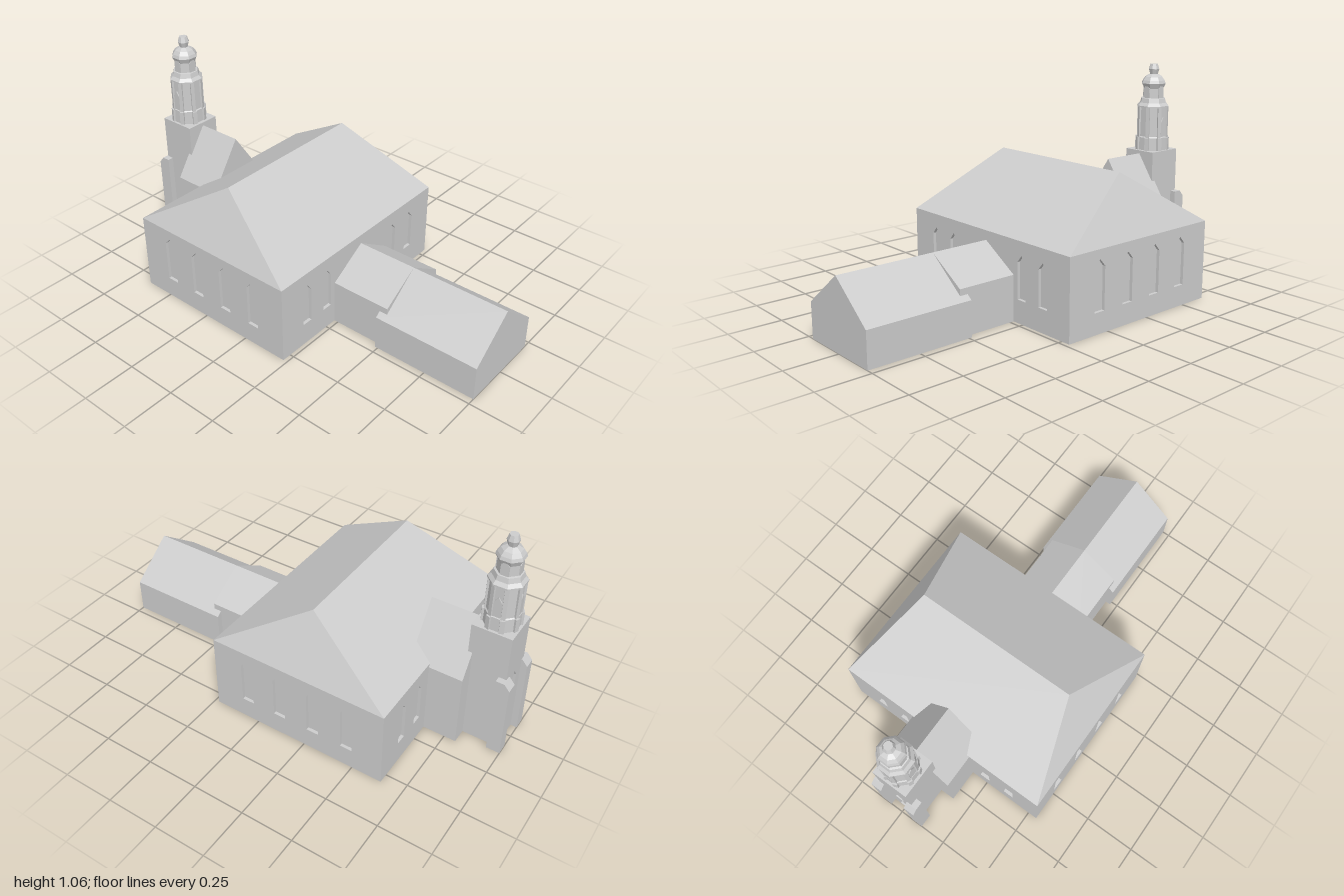
import * as THREE from 'three';

const stone = new THREE.MeshStandardMaterial({ color: 0xcccccc, flatShading: true });
stone.name = 'pale stone';
const RECESS = 0.015;

function add(parent, geometry, name, x = 0, y = 0, z = 0, turn = 0) {
  const mesh = new THREE.Mesh(geometry, stone);
  mesh.name = name;
  mesh.position.set(x, y, z);
  mesh.rotation.y = turn;
  parent.add(mesh);
  return mesh;
}

const shapeOf = (points) => new THREE.Shape(points.map(([x, y]) => new THREE.Vector2(x, y)));
const extrude = (shape, depth) => new THREE.ExtrudeGeometry(shape, { depth, bevelEnabled: false });

// Pointed window or door outline
function lancet(cx, y0, y1, width, rise) {
  const h = width / 2;
  return [[cx - h, y0], [cx + h, y0], [cx + h, y1 - rise], [cx, y1], [cx - h, y1 - rise]];
}

// Wall skin with openings, its outer face at z = RECESS
function wall(width, height, openings) {
  const shape = shapeOf([[-width / 2, 0], [width / 2, 0], [width / 2, height], [-width / 2, height]]);
  openings.forEach((o) => shape.holes.push(new THREE.Path(shapeOf(lancet(...o)).getPoints())));
  return extrude(shape, RECESS);
}

// Gabled block running along x
function gabled(parent, name, x0, x1, half, eave, ridge) {
  const shape = shapeOf([[-half, 0], [half, 0], [half, eave], [0, ridge], [-half, eave]]);
  add(parent, extrude(shape, x1 - x0), name, x0, 0, 0, Math.PI / 2);
}

// Hipped roof with its ridge along z
function hippedRoof(hw, hd, ridgeHalf, rise) {
  const a = [-hw, 0, hd], b = [hw, 0, hd], c = [hw, 0, -hd], d = [-hw, 0, -hd];
  const f = [0, rise, ridgeHalf], r = [0, rise, -ridgeHalf];
  const faces = [a, b, f, c, d, r, b, c, r, b, r, f, d, a, f, d, f, r];
  const geometry = new THREE.BufferGeometry();
  geometry.setAttribute('position', new THREE.Float32BufferAttribute(faces.flat(), 3));
  geometry.computeVertexNormals();
  return geometry;
}

// Eight-sided turned form; radii are measured to the flats
function octagon(profile) {
  const k = 1 / Math.cos(Math.PI / 8);
  const points = profile.map(([r, y]) => new THREE.Vector2(r * k, y));
  return new THREE.LatheGeometry(points, 8, Math.PI / 8);
}

function createHall() {
  const hall = new THREE.Group();
  hall.name = 'hall';
  hall.position.x = -0.2075;
  const hw = 0.4375, hd = 0.545, eave = 0.38;
  add(hall, new THREE.BoxGeometry(2 * (hw - RECESS), eave, 2 * (hd - RECESS)), 'hallCore', 0, eave / 2);
  const sideWindows = [-0.26, -0.0875, 0.0875, 0.26].map((x) => [x, 0.1, 0.335, 0.06, 0.035]);
  const endWindows = [-0.38, -0.243, 0.243, 0.38].map((x) => [x, 0.11, 0.315, 0.053, 0.033]);
  for (const s of [1, -1]) {
    add(hall, wall(2 * hw, eave, sideWindows), s > 0 ? 'frontWall' : 'backWall',
      0, 0, s * (hd - RECESS), s > 0 ? 0 : Math.PI);
    add(hall, wall(2 * (hd - RECESS), eave, endWindows), s > 0 ? 'leftWall' : 'rightWall',
      s * (hw - RECESS), 0, 0, s * Math.PI / 2);
  }
  add(hall, hippedRoof(hw, hd, 0.4, 0.27), 'hallRoof', 0, eave);
  return hall;
}

function createTower() {
  const tower = new THREE.Group();
  tower.name = 'tower';
  const x0 = -0.97, x1 = -0.785, half = 0.09, top = 0.62;
  add(tower, new THREE.BoxGeometry(x1 - x0 - RECESS, top, 2 * half), 'towerShaft',
    (x0 + RECESS + x1) / 2, top / 2);
  add(tower, wall(2 * half, top, [[0, 0.01, 0.19, 0.06, 0.035], [0, 0.23, 0.38, 0.05, 0.035]]),
    'entranceWall', x0 + RECESS, 0, 0, -Math.PI / 2);

  // Buttresses with sloping caps
  const profile = shapeOf([[-1, 0], [-0.935, 0], [-0.935, 0.4], [-0.975, 0.4], [-1, 0.37]]);
  for (const s of [1, -1]) {
    add(tower, extrude(profile, 0.055), 'buttress', 0, 0, s * 0.0925 - 0.0275);
  }
  return tower;
}

function createSteeple() {
  const steeple = new THREE.Group();
  steeple.name = 'steeple';
  steeple.position.x = -0.88;
  add(steeple, octagon([[0, 0.61], [0.077, 0.61], [0.075, 0.685], [0.07, 0.69], [0.068, 0.845], [0, 0.845]]), 'belfry');

  // Stepped pilasters on the belfry corners
  for (let i = 0; i < 8; i++) {
    const turn = Math.PI / 8 + i * Math.PI / 4;
    const at = (r) => [Math.sin(turn) * r, Math.cos(turn) * r];
    const [px, pz] = at(0.07);
    add(steeple, new THREE.BoxGeometry(0.018, 0.225, 0.02), 'pilaster', px, 0.7325, pz, turn);
    const [bx, bz] = at(0.075);
    add(steeple, new THREE.BoxGeometry(0.022, 0.065, 0.024), 'pilasterFoot', bx, 0.6525, bz, turn);
  }

  // Cornice, drum, dome and finial
  add(steeple, octagon([[0, 0.84], [0.077, 0.84], [0.077, 0.847], [0.064, 0.862], [0.058, 0.885],
    [0.049, 0.887], [0.048, 0.935], [0.059, 0.96], [0.054, 0.975], [0.042, 0.993], [0.022, 1.006], [0, 1.006]]), 'lantern');
  add(steeple, octagon([[0, 1.004], [0.018, 1.004], [0.026, 1.032], [0.018, 1.058], [0, 1.058]]), 'finial');

  // Raised window panels
  for (let i = 0; i < 4; i++) {
    const turn = i * Math.PI / 2;
    const sx = Math.sin(turn), sz = Math.cos(turn);
    if (i !== 1) {
      add(steeple, extrude(shapeOf(lancet(0, 0.69, 0.79, 0.036, 0.025)), 0.008),
        'belfryWindow', sx * 0.066, 0, sz * 0.066, turn);
    }
    add(steeple, extrude(shapeOf(lancet(0, 0.887, 0.957, 0.036, 0.022)), 0.008),
      'lanternWindow', sx * 0.045, 0, sz * 0.045, turn);
  }
  return steeple;
}

export function createModel() {
  const church = new THREE.Group();
  church.name = 'church';
  church.add(createHall(), createTower(), createSteeple());
  gabled(church, 'narthex', -0.805, -0.555, 0.163, 0.365, 0.605);
  gabled(church, 'linkBuilding', 0.22, 0.525, 0.19, 0.217, 0.335);
  gabled(church, 'annex', 0.485, 1, 0.216, 0.167, 0.335);
  return church;
}
